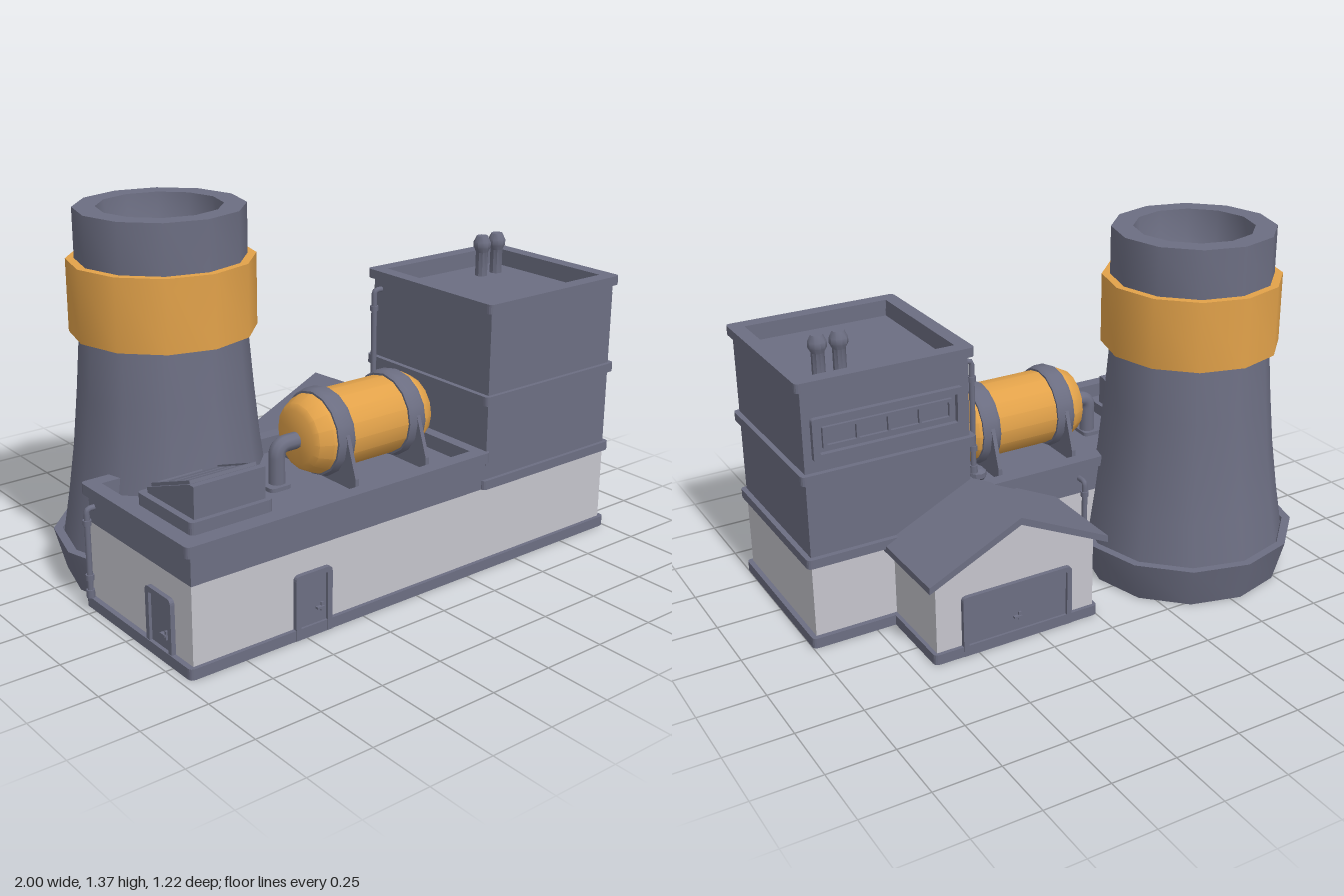
import * as THREE from 'three';
import { toCreasedNormals } from 'three/addons/utils/BufferGeometryUtils.js';

const mat = (name, color) => Object.assign(new THREE.MeshStandardMaterial({ color }), { name });

export function createModel() {
  const slate = mat('slate', 0x6c6e82);
  const pale = mat('paleWall', 0xc5c4cc);
  const orange = mat('orange', 0xe2a24a);
  const model = new THREE.Group();
  model.name = 'powerPlant';

  const add = (name, geo, m = slate, parent = model) => {
    const mesh = new THREE.Mesh(geo, m);
    mesh.name = name;
    parent.add(mesh);
    return mesh;
  };
  const box = (name, x0, x1, y0, y1, z0, z1, m, parent) => {
    const mesh = add(name, new THREE.BoxGeometry(x1 - x0, y1 - y0, z1 - z0), m, parent);
    mesh.position.set((x0 + x1) / 2, (y0 + y1) / 2, (z0 + z1) / 2);
    return mesh;
  };
  const roundRect = (s, x0, x1, y0, y1, r) => {
    s.moveTo(x0 + r, y0).lineTo(x1 - r, y0).quadraticCurveTo(x1, y0, x1, y0 + r);
    s.lineTo(x1, y1 - r).quadraticCurveTo(x1, y1, x1 - r, y1);
    s.lineTo(x0 + r, y1).quadraticCurveTo(x0, y1, x0, y1 - r);
    s.lineTo(x0, y0 + r).quadraticCurveTo(x0, y0, x0 + r, y0);
    return s;
  };
  const extrude = (s, depth) => new THREE.ExtrudeGeometry(s, { depth, bevelEnabled: false, curveSegments: 4 });
  // Flat slab with rounded corners; a wall width turns it into an open ring
  const slab = (name, x0, x1, z0, z1, y0, y1, wall = 0, r = 0.02) => {
    const s = roundRect(new THREE.Shape(), x0, x1, -z1, -z0, r);
    if (wall) s.holes.push(roundRect(new THREE.Path(), x0 + wall, x1 - wall, -z1 + wall, -z0 - wall, 0.002));
    return add(name, extrude(s, y1 - y0).rotateX(-Math.PI / 2).translate(0, y0, 0));
  };
  const lathe = (pts, sides) =>
    toCreasedNormals(new THREE.LatheGeometry(pts.map(p => new THREE.Vector2(...p)), sides), 0.6);
  const tube = (pts, r, sides = 8) => {
    const path = new THREE.CurvePath();
    const v = pts.map(p => new THREE.Vector3(...p));
    // Straight runs joined by a rounded elbow at each inner point
    let from = v[0];
    for (let i = 1; i < v.length - 1; i++) {
      const a = v[i].clone().add(v[i - 1].clone().sub(v[i]).setLength(r * 1.4));
      const b = v[i].clone().add(v[i + 1].clone().sub(v[i]).setLength(r * 1.4));
      path.add(new THREE.LineCurve3(from, a));
      path.add(new THREE.QuadraticBezierCurve3(a, v[i], b));
      from = b;
    }
    path.add(new THREE.LineCurve3(from, v[v.length - 1]));
    return new THREE.TubeGeometry(path, 40, r, sides);
  };

  // Main hall and tower block
  slab('baseTrim', -0.97, 1, -0.07, 0.605, 0, 0.04);
  box('paleWalls', -0.95, 0.98, 0.04, 0.325, -0.05, 0.59, pale);
  box('hallUpperWall', -0.95, 0.34, 0.325, 0.41, -0.05, 0.59);
  slab('hallParapetWall', -0.95, 0.34, -0.05, 0.59, 0.41, 0.43, 0.035, 0.003);
  slab('hallParapet', -0.97, 0.35, -0.07, 0.605, 0.43, 0.47, 0.055);
  box('towerWalls', 0.34, 0.98, 0.325, 0.965, -0.05, 0.59);
  slab('towerLowerTrim', 0.32, 1, -0.07, 0.605, 0.325, 0.36);
  slab('towerMiddleTrim', 0.32, 1, -0.07, 0.605, 0.65, 0.685);
  slab('towerParapetWall', 0.34, 0.98, -0.05, 0.59, 0.965, 0.995, 0.035, 0.003);
  slab('towerParapet', 0.32, 1, -0.07, 0.605, 0.995, 1.03, 0.055);

  // Tower roof vents and hall roof vent
  const vent = [[0.024, 0], [0.024, 0.095], [0.034, 0.115], [0.034, 0.135], [0.022, 0.16], [0, 0.16]];
  for (const x of [0.765, 0.845]) add('roofVent', lathe(vent, 10)).position.set(x, 0.965, 0.1);
  add('hallRoofVent', lathe([[0.025, 0], [0.025, 0.04], [0.034, 0.05], [0.034, 0.07], [0.02, 0.085], [0, 0.085]], 10))
    .position.set(0.26, 0.41, 0.045);

  // Back window of the tower: frame, panel and mullions
  const frame = roundRect(new THREE.Shape(), 0.37, 0.95, 0.73, 0.89, 0.012);
  frame.holes.push(roundRect(new THREE.Path(), 0.395, 0.925, 0.755, 0.865, 0.005));
  add('windowFrame', extrude(frame, 0.02)).position.z = -0.07;
  const sash = roundRect(new THREE.Shape(), 0.41, 0.91, 0.77, 0.85, 0.004);
  for (let i = 0; i < 4; i++) {
    const x = 0.425 + i * 0.12;
    sash.holes.push(roundRect(new THREE.Path(), x, x + 0.11, 0.782, 0.838, 0.003));
  }
  add('windowSash', extrude(sash, 0.012)).position.z = -0.062;

  // Annex with a gabled roof
  const gable = new THREE.Shape();
  gable.moveTo(0.01, 0.04).lineTo(0.66, 0.04).lineTo(0.66, 0.33).lineTo(0.335, 0.485).lineTo(0.01, 0.33);
  add('annexWalls', extrude(gable, 0.33), pale).position.z = -0.375;
  slab('annexTrim', -0.005, 0.675, -0.39, -0.04, 0, 0.0399);
  const roof = new THREE.Shape();
  roof.moveTo(-0.03, 0.31).lineTo(0.335, 0.482).lineTo(0.7, 0.31).lineTo(0.7, 0.336).lineTo(0.335, 0.51).lineTo(-0.03, 0.336);
  add('annexRoof', extrude(roof, 0.365)).position.z = -0.415;

  // Doors: frame, recessed panel and handle, facing +z at their own origin
  const door = (name, w, h, x, z, turn) => {
    const g = new THREE.Group();
    const s = new THREE.Shape();
    const arch = (p, hw, top, r) => p.moveTo(-hw, 0).lineTo(hw, 0).lineTo(hw, top - r)
      .quadraticCurveTo(hw, top, hw - r, top).lineTo(-hw + r, top).quadraticCurveTo(-hw, top, -hw, top - r).lineTo(-hw, 0);
    arch(s, w / 2, h, 0.02);
    const hole = new THREE.Path();
    arch(hole, w / 2 - 0.02, h - 0.02, 0.006);
    s.holes.push(hole);
    add(name + 'Frame', extrude(s, 0.017), slate, g);
    box(name + 'Panel', -w / 2 + 0.02, w / 2 - 0.02, 0.001, h - 0.02, 0, 0.006, slate, g);
    const hx = w > 0.3 ? 0 : 0.03;
    box(name + 'Handle', hx - 0.018, hx + 0.012, 0.092, 0.1, 0.006, 0.02, slate, g);
    box(name + 'Lock', hx + 0.002, hx + 0.012, 0.08, 0.112, 0.006, 0.014, slate, g);
    g.name = name;
    g.position.set(x, 0, z);
    g.rotation.y = turn;
    model.add(g);
  };
  door('frontDoor', 0.155, 0.24, -0.467, 0.59, 0);
  door('sideDoor', 0.155, 0.24, -0.95, 0.41, -Math.PI / 2);
  door('garageDoor', 0.45, 0.24, 0.335, -0.375, Math.PI);

  // Drain pipes with collars; (dx, dz) points back to the wall
  const drain = (x, z, y0, y1, dx, dz) => {
    add('drainPipe', tube([[x + dx, y1, z + dz], [x, y1, z], [x, y0, z]], 0.011));
    for (const t of [0, 0.2, 0.82]) {
      const h = t ? 0.02 : 0.03;
      add('pipeCollar', new THREE.CylinderGeometry(0.016, 0.016, h, 8)).position.set(x, y0 + h / 2 + t * (y1 - y0), z);
    }
  };
  drain(0.305, -0.01, 0.51, 0.955, 0.04, 0);
  drain(-0.98, -0.015, 0.055, 0.39, 0.04, 0);
  drain(-0.135, -0.09, 0.055, 0.39, 0, 0.05);

  // Cooling tower
  const cooling = new THREE.Group();
  cooling.name = 'coolingTower';
  cooling.position.set(-0.54, 0, -0.18);
  model.add(cooling);
  add('coolingBasin', lathe([[0, 0], [0.39, 0], [0.433, 0.163], [0.4, 0.163], [0.385, 0.1]], 12), slate, cooling);
  add('coolingShell', lathe([[0.4, 0.1], [0.392, 0.163], [0.366, 0.32], [0.341, 0.5], [0.32, 0.71], [0.3, 0.95]], 12), slate, cooling);
  add('coolingBand', lathe([[0.295, 0.925], [0.337, 0.925], [0.337, 1.19], [0.295, 1.19]], 12), orange, cooling);
  add('coolingMouth', lathe([[0.306, 1.18], [0.306, 1.372], [0.225, 1.372], [0.215, 1.27], [0.18, 1.17], [0.11, 1.1], [0, 1.07]], 12), slate, cooling);

  // Storage tank lying along x with straps and feet
  const tank = new THREE.Group();
  tank.name = 'storageTank';
  tank.position.set(0, 0.575, 0.265);
  model.add(tank);
  const shell = [[0, -0.285], [0.1, -0.285], [0.122, -0.272], [0.147, -0.225], [0.147, 0.205], [0.122, 0.25], [0.1, 0.262], [0, 0.262]];
  add('tankShell', lathe(shell, 16).rotateZ(-Math.PI / 2), orange, tank);
  const strap = [[0.14, -0.037], [0.155, -0.037], [0.163, -0.02], [0.163, 0.02], [0.155, 0.037], [0.14, 0.037]];
  const foot = new THREE.Shape();
  foot.moveTo(-0.21, -0.165).lineTo(0.21, -0.165).lineTo(0.21, -0.12).lineTo(0.157, 0.03).lineTo(-0.157, 0.03).lineTo(-0.21, -0.12);
  for (const x of [-0.175, 0.155]) {
    add('tankStrap', lathe(strap, 16).rotateZ(-Math.PI / 2), slate, tank).position.x = x;
    add('tankFoot', extrude(foot, 0.016).rotateY(Math.PI / 2), slate, tank).position.x = x - 0.008;
  }
  add('tankPipe', tube([[-0.27, -0.01, 0], [-0.37, -0.01, 0], [-0.37, -0.165, 0]], 0.031, 10), slate, tank);
  slab('tankPipeFlange', -0.425, -0.335, 0.22, 0.31, 0.41, 0.425);

  // Sloped roof skylight, high at the front
  slab('skylightBase', -0.84, -0.505, 0.09, 0.43, 0.41, 0.455);
  const wedge = new THREE.Shape();
  wedge.moveTo(-0.41, 0.41).lineTo(-0.12, 0.41).lineTo(-0.12, 0.475).lineTo(-0.385, 0.572).lineTo(-0.41, 0.572);
  add('skylightBody', extrude(wedge, 0.29).rotateY(Math.PI / 2)).position.x = -0.815;
  const louvers = new THREE.Group();
  louvers.name = 'skylightLouvers';
  louvers.position.set(-0.67, 0.524, 0.254);
  louvers.rotation.x = -Math.atan2(0.097, 0.265);
  model.add(louvers);
  const rim = roundRect(new THREE.Shape(), -0.135, 0.135, -0.13, 0.13, 0.004);
  rim.holes.push(roundRect(new THREE.Path(), -0.12, 0.12, -0.113, 0.113, 0.003));
  add('louverRim', extrude(rim, 0.012).rotateX(-Math.PI / 2), slate, louvers);
  for (const z of [-0.073, 0, 0.073]) box('louver', -0.115, 0.115, -0.002, 0.007, z - 0.027, z + 0.027, slate, louvers);

  return model;
}
